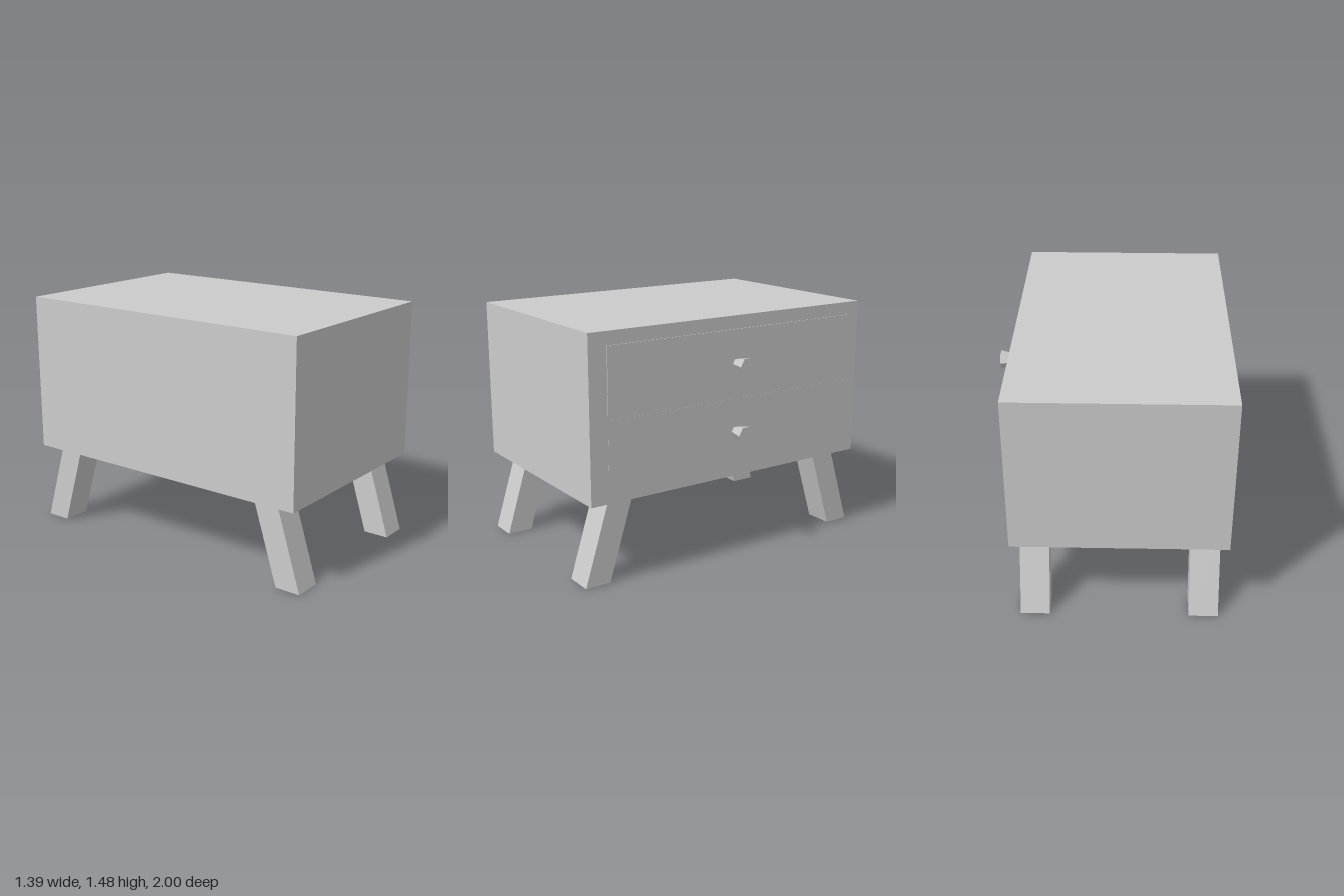
import * as THREE from 'three';

const material = new THREE.MeshStandardMaterial({ color: 0xcccccc, flatShading: true });

function addMesh(parent, name, geometry, x, y, z) {
  const mesh = new THREE.Mesh(geometry, material);
  mesh.name = name;
  mesh.position.set(x, y, z);
  parent.add(mesh);
  return mesh;
}

// Box given by its lower and upper corners
function addBox(parent, name, [x0, y0, z0], [x1, y1, z1]) {
  return addMesh(parent, name, new THREE.BoxGeometry(x1 - x0, y1 - y0, z1 - z0),
    (x0 + x1) / 2, (y0 + y1) / 2, (z0 + z1) / 2);
}

// Slanted leg: a parallelogram in the z-y plane, extruded along x
function legGeometry(side, width) {
  const shape = new THREE.Shape([[0.84, 0], [1, 0], [0.845, 0.5], [0.685, 0.5]]
    .map(([z, y]) => new THREE.Vector2(side * z, y)));
  const geometry = new THREE.ExtrudeGeometry(shape, { depth: width, bevelEnabled: false });
  return geometry.rotateY(-Math.PI / 2).translate(width, 0, 0);
}

export function createModel() {
  const model = new THREE.Group();
  model.name = 'nightstand';

  const face = 0.583;
  addBox(model, 'cabinet', [-0.695, 0.5, -0.98], [face, 1.48, 0.98]);

  // Drawers on the +x face, each with a flared six-sided knob
  const drawers = [
    { name: 'upperDrawer', y0: 1.01, y1: 1.4, front: 0.588, knobY: 1.195, knobEnd: 0.695 },
    { name: 'lowerDrawer', y0: 0.59, y1: 0.98, front: 0.584, knobY: 0.78, knobEnd: 0.69 },
  ];
  for (const d of drawers) {
    const drawer = new THREE.Group();
    drawer.name = d.name;
    model.add(drawer);
    addBox(drawer, 'drawerFront', [0.55, d.y0, -0.905], [d.front, d.y1, 0.865]);
    const length = d.knobEnd - face;
    const knob = new THREE.CylinderGeometry(0.056, 0.029, length, 6).rotateZ(-Math.PI / 2);
    addMesh(drawer, 'knob', knob, face + length / 2, d.knobY, -0.018);
  }

  // Four legs splayed towards the two ends
  for (const side of [1, -1]) {
    for (const x of [-0.65, 0.36]) {
      addMesh(model, 'leg', legGeometry(side, 0.175), x, 0, 0);
    }
  }
  return model;
}
